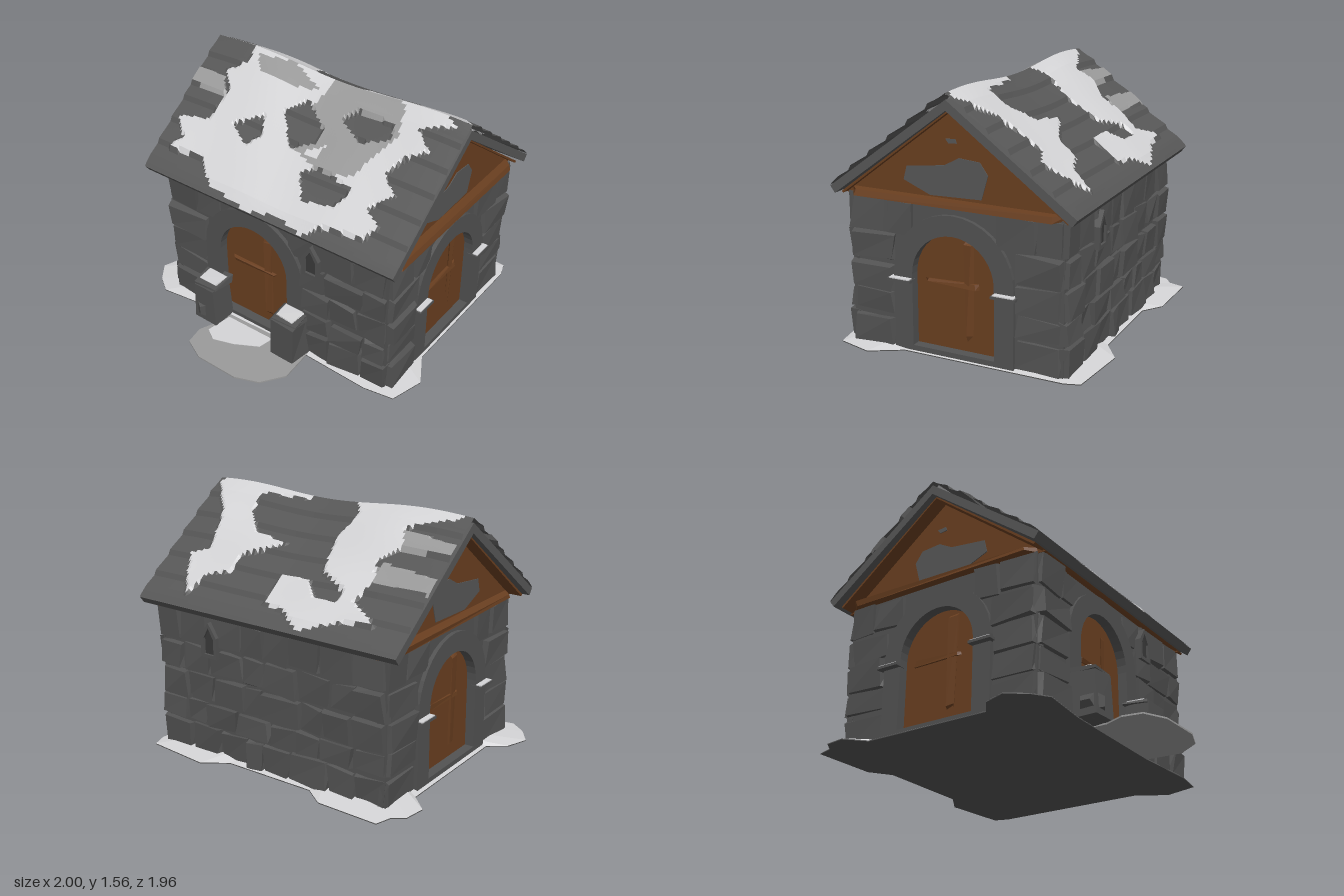
import * as THREE from 'three';
import { mergeGeometries } from 'three/addons/utils/BufferGeometryUtils.js';

const paint = (name, color, side = THREE.FrontSide) => {
  const m = new THREE.MeshStandardMaterial({ color, side });
  m.name = name;
  return m;
};

export function createModel() {
  const stone = paint('stone', 0x525252);
  const slate = paint('slate', 0x575757, THREE.DoubleSide);
  const snow = paint('snow', 0xd4d4d6, THREE.DoubleSide);
  const slush = paint('slush', 0x9a9a9a, THREE.DoubleSide);
  const wood = paint('wood', 0x6a3f20, THREE.DoubleSide);
  const dark = paint('shadowStone', 0x3a3a3a);

  let seed = 7;
  const rand = (a = 0, b = 1) => {
    seed = (seed * 16807) % 2147483647;
    return a + (b - a) * seed / 2147483647;
  };
  const root = new THREE.Group();
  const add = (parent, name, geo, mat, x = 0, y = 0, z = 0) => {
    const m = new THREE.Mesh(geo, mat);
    m.name = name;
    m.position.set(x, y, z);
    parent.add(m);
    return m;
  };
  const flat = (g) => {
    const n = g.index ? g.toNonIndexed() : g;
    n.computeVertexNormals();
    return n;
  };
  const poly = (pts) => new THREE.Shape(pts.map(([x, y]) => new THREE.Vector2(x, y)));
  const extrude = (shape, depth) =>
    new THREE.ExtrudeGeometry(shape, { depth, bevelEnabled: false, curveSegments: 9 });

  // Rough block: eight shifted corners, narrower at the outer face
  const block = (w, h, d, x, y, z, rough = 0.022, taper = 0.9) => {
    const corners = Array.from({ length: 8 }, () => [rand(-rough, rough), rand(-rough, rough), rand(-rough, rough)]);
    const g = new THREE.BoxGeometry(w, h, d);
    const p = g.attributes.position;
    for (let i = 0; i < p.count; i++) {
      const [px, py, pz] = [p.getX(i), p.getY(i), p.getZ(i)];
      const c = corners[(px > 0) + 2 * (py > 0) + 4 * (pz > 0)];
      const k = pz > 0 ? taper : 1;
      p.setXYZ(i, x + px * k + c[0], Math.max(0, y + py * k + c[1]), z + pz + c[2]);
    }
    return flat(g);
  };

  // Round-headed opening
  const arch = (Type, u, r, spring, bottom) => {
    const s = new Type();
    s.moveTo(u - r, bottom);
    s.lineTo(u + r, bottom);
    s.lineTo(u + r, spring);
    s.absarc(u, spring, r, 0, Math.PI, false);
    s.lineTo(u - r, bottom);
    return s;
  };

  // One wall: panel, rough courses, optional door with stone surround
  const courses = [0, 0.19, 0.34, 0.52, 0.7, 0.91];
  function wall(name, width, pos, turn, door) {
    const g = new THREE.Group();
    g.name = name;
    g.position.set(...pos);
    g.rotation.y = turn;
    root.add(g);
    const half = width / 2;
    const face = poly([[-half, 0], [half, 0], [half, 0.91], [-half, 0.91]]);
    if (door) {
      face.holes.push(arch(THREE.Path, door.u, 0.26, door.spring, 0.04));
      const ring = arch(THREE.Shape, door.u, 0.38, door.spring, 0);
      ring.holes.push(arch(THREE.Path, door.u, 0.26, door.spring, 0.04));
      add(g, 'doorSurround', extrude(ring, 0.025), stone);
      add(g, 'door', extrude(arch(THREE.Shape, door.u, 0.27, door.spring, 0.03), 0.02), wood, 0, 0, -0.055);
      add(g, 'doorBar', block(0.34, 0.025, 0.02, door.u - 0.03, 0.44, -0.03, 0.008), wood);
      add(g, 'doorPlank', block(0.05, 0.6, 0.012, door.u + 0.08, 0.4, -0.034, 0.012), wood);
    }
    add(g, 'wallPanel', extrude(face, 0.06), stone, 0, 0, -0.06);

    const stones = [];
    for (let r = 0; r < 5; r++) {
      const [y0, y1] = [courses[r], courses[r + 1]];
      const gap = [0.38, 0.38, 0.38, 0.37, 0.26][r];
      const spans = door ? [[-half, door.u - gap], [door.u + gap, half]] : [[-half, half]];
      for (const [a, b] of spans) {
        const n = Math.max(1, Math.round((b - a) / 0.21));
        let u = a;
        for (let i = 0; i < n; i++) {
          const end = i === n - 1 ? b : a + (b - a) * (i + 1 + rand(-0.25, 0.25)) / n;
          const out = rand(0.01, 0.035);
          stones.push(block(end - u, y1 - y0 - 0.01, 0.06, (u + end) / 2, (y0 + y1) / 2, out - 0.03, 0.014));
          u = end;
        }
      }
    }
    add(g, 'wallStones', mergeGeometries(stones), stone);
    return g;
  }

  const wallX = 1.64, wallZ = 1.34;
  const front = wall('frontWall', wallX, [0.03, 0, 0.51], 0, { u: -0.15, spring: 0.51 });
  const back = wall('backWall', wallX, [0.03, 0, -0.83], Math.PI, null);
  const left = wall('leftWall', wallZ, [0.85, 0, -0.16], Math.PI / 2, { u: 0, spring: 0.475 });
  const right = wall('rightWall', wallZ, [-0.79, 0, -0.16], -Math.PI / 2, { u: 0, spring: 0.475 });

  // Snow-dusted ledges where the side arches spring
  for (const side of [left, right]) for (const s of [-1, 1]) {
    add(side, 'ledge', new THREE.BoxGeometry(0.15, 0.016, 0.07), stone, s * 0.33, 0.435, 0.03);
    add(side, 'ledgeSnow', new THREE.BoxGeometry(0.13, 0.006, 0.06), snow, s * 0.33, 0.446, 0.03);
  }

  // Small pointed windows
  const pointed = (w, h) => [[-w, 0], [w, 0], [w, h * 0.6], [0, h], [-w, h * 0.6]];
  for (const [g, u] of [[front, 0.31], [back, -0.4]]) {
    const frame = poly(pointed(0.06, 0.22));
    frame.holes.push(new THREE.Path(poly(pointed(0.037, 0.165)).translate ? [] : pointed(0.037, 0.165)
      .map(([x, y]) => new THREE.Vector2(x, y + 0.022))));
    add(g, 'windowFrame', extrude(frame, 0.055), stone, u, 0.65, 0);
    add(g, 'windowPane', extrude(poly(pointed(0.045, 0.19)), 0.008), dark, u, 0.66, 0.032);
  }

  // Gate posts, their snow caps and a loose rock
  for (const [x, h, z] of [[-0.405, 0.28, 0.605], [0.205, 0.29, 0.6]]) {
    add(root, 'gatePost', block(0.18, h, 0.16, x, h / 2, z, 0.012, 0.97), stone);
    add(root, 'postCap', block(0.19, 0.03, 0.16, x, h + 0.005, z - 0.01, 0.012), stone);
    add(root, 'postSnow', block(0.14, 0.008, 0.11, x, h + 0.024, z - 0.01, 0.006), snow);
  }
  add(root, 'looseRock', flat(new THREE.DodecahedronGeometry(0.085)), stone, -0.43, 0.09, 0.63);

  // Gables with their tie beams and bare patches
  const turnX = Math.PI / 2;
  for (const [x, s] of [[0.82, 1], [-0.76, -1]]) {
    const g = new THREE.Group();
    g.name = 'gable';
    g.position.set(x, 0, -0.16);
    g.rotation.y = s * turnX;
    root.add(g);
    add(g, 'gableBoard', extrude(poly([[-0.72, 0.9], [0.72, 0.9], [0, 1.47]]), 0.02), wood);
    add(g, 'tieBeam', block(1.36, 0.04, 0.08, 0, 0.922, 0.04, 0.008), wood);
    const patch = [[-0.32, 1.02], [-0.3, 1.1], [-0.06, 1.13], [0.03, 1.18], [0.16, 1.17], [0.21, 1.1], [0.17, 0.96], [-0.15, 0.95]];
    add(g, 'gablePatch', extrude(poly(patch.map(([a, b]) => [s * a, b])), 0.005), slate, 0, 0, 0.02);
    add(g, 'smallPatch', extrude(poly([[-0.05, 1.28], [-0.03, 1.255], [0.02, 1.26], [0.01, 1.285]]), 0.005), slate, 0, 0, 0.02);
  }

  // Roof slab and wooden soffit
  const slab = [[-0.6, 0.95], [0.16, 1.515], [0.93, 0.95], [0.9, 0.91], [0.16, 1.455], [-0.57, 0.91]];
  const soffit = [[-0.55, 0.915], [0.16, 1.456], [0.87, 0.915], [0.86, 0.905], [0.16, 1.445], [-0.54, 0.905]];
  add(root, 'roofSlab', extrude(poly(slab), 1.84), slate, -0.91).rotation.y = turnX;
  add(root, 'soffit', extrude(poly(soffit), 1.76), wood, -0.87).rotation.y = turnX;

  // Roof cover patches in x and height (front) or x and z (back); the last match wins
  const frontPatches = [
    [snow, [[-0.62, 1.6], [-0.6, 1.45], [-0.72, 1.4], [-0.62, 1.33], [-0.65, 1.2], [-0.87, 1.17], [-0.75, 1.1], [-0.82, 1.04],
      [-0.55, 1.06], [-0.42, 0.98], [-0.1, 0.95], [0.1, 0.98], [0.3, 0.95], [0.4, 1], [0.66, 1.02], [0.72, 1.08], [0.6, 1.12],
      [0.72, 1.2], [0.6, 1.25], [0.66, 1.33], [0.78, 1.38], [0.66, 1.44], [0.85, 1.5], [0.6, 1.6]]],
    [slush, [[0, 1.6], [0.5, 1.52], [0.56, 1.4], [0.42, 1.2], [0.22, 1.17], [0, 1.22], [-0.2, 1.33], [-0.02, 1.42]]],
    [slush, [[-0.56, 1.5], [-0.3, 1.53], [-0.05, 1.46], [-0.25, 1.43], [-0.5, 1.44]]],
    [slush, [[-0.95, 1.38], [-0.7, 1.37], [-0.62, 1.3], [-0.95, 1.31]]],
    [slate, [[0.17, 1.39], [0.25, 1.44], [0.5, 1.43], [0.53, 1.37], [0.35, 1.33]]],
    [slate, [[-0.2, 1.34], [-0.08, 1.41], [0.1, 1.33], [0.1, 1.27], [-0.05, 1.22]]],
    [slate, [[-0.48, 1.22], [-0.3, 1.29], [-0.26, 1.22], [-0.32, 1.16]]],
    [slate, [[0.1, 1.15], [0.2, 1.19], [0.46, 1.16], [0.4, 1.08], [0.2, 1.06]]],
    [snow, [[0.04, 1.25], [0.08, 1.21], [0.15, 1.22], [0.17, 1.28], [0.12, 1.25], [0.08, 1.24]]],
  ];
  const backPatches = [
    [slush, [[-0.95, -0.62], [-0.5, -0.6], [-0.55, -0.5], [-0.95, -0.54]]],
    [slush, [[-0.95, -0.4], [-0.5, -0.42], [-0.5, -0.3], [-0.95, -0.34]]],
    [snow, [[-0.7, -0.82], [-0.5, -0.83], [-0.25, -0.92], [-0.1, -0.84], [0.05, -0.82], [0.05, -0.65], [-0.15, -0.66],
      [-0.25, -0.74], [-0.4, -0.75], [-0.4, -0.68], [-0.2, -0.6], [-0.15, -0.4], [-0.2, -0.25], [-0.1, -0.1], [-0.88, -0.1],
      [-0.84, -0.19], [-0.55, -0.3], [-0.6, -0.4], [-0.5, -0.5], [-0.55, -0.6], [-0.5, -0.72]]],
    [snow, [[0.6, -0.88], [0.7, -0.75], [0.76, -0.65], [0.65, -0.6], [0.7, -0.45], [0.75, -0.35], [0.92, -0.2], [0.85, -0.1],
      [0.2, -0.1], [0.2, -0.19], [0.55, -0.22], [0.52, -0.35], [0.4, -0.45], [0.15, -0.48], [0.4, -0.6], [0.4, -0.7], [0.55, -0.74]]],
  ];
  const inside = (x, y, p) => p.reduce((hit, [ax, ay], i) => {
    const [bx, by] = p[(i + 1) % p.length];
    return (ay > y) !== (by > y) && x < ax + (bx - ax) * (y - ay) / (by - ay) ? !hit : hit;
  }, false);
  const cover = (s, x, t) => {
    const v = s > 0 ? 1.53 - 0.58 * t : -0.16 - 0.77 * t;
    return (s > 0 ? frontPatches : backPatches).reduce((m, [mat, p]) => inside(x, v, p) ? mat : m, slate);
  };
  const NX = 100, NT = 48;
  for (const s of [1, -1]) {
    const point = (i, j) => {
      const x = -0.91 + 1.84 * i / NX, t = j / NT;
      const wave = 0.02 + 0.018 * Math.cos((x + 0.6) * 4.7);
      const shingle = 0.022 * ((t * 6 + 0.02) % 1);
      const drift = 0.022 + 0.008 * Math.sin(x * 7 + t * 5) * Math.cos(t * 8 - x * 3);
      const lift = (cover(s, x, t) === slate ? shingle : drift) * Math.min(1, t * 8, (1 - t) * 12);
      return [x, 1.52 - 0.565 * t + wave * (1 - t) + lift, -0.16 + s * (s > 0 ? 0.76 : 0.77) * t];
    };
    const lists = new Map([[slate, []], [snow, []], [slush, []]]);
    for (let i = 0; i < NX; i++) for (let j = 0; j < NT; j++) {
      const mat = cover(s, -0.91 + 1.84 * (i + 0.5) / NX, (j + 0.5) / NT);
      const [a, b, c, d] = [point(i, j), point(i, j + 1), point(i + 1, j + 1), point(i + 1, j)];
      lists.get(mat).push(...(s > 0 ? [a, b, c, a, c, d] : [a, c, b, a, d, c]).flat());
    }
    for (const [mat, list] of lists) {
      const g = new THREE.BufferGeometry();
      g.setAttribute('position', new THREE.Float32BufferAttribute(list, 3));
      add(root, (s > 0 ? 'front' : 'back') + 'Roof_' + mat.name, flat(g), mat);
    }
  }

  // Ground drift sloping away from the walls, over a stone footing
  const rim = [[-1, 0.44], [-0.95, 0.3], [-0.84, 0.22], [-0.84, -0.6], [-0.95, -0.7], [-0.93, -0.83], [-0.86, -0.88], [-0.83, -0.98],
    [-0.43, -0.97], [-0.3, -0.88], [0.3, -0.88], [0.45, -0.98], [0.86, -0.94], [0.89, -0.85], [0.89, 0.15], [1, 0.34],
    [0.94, 0.55], [0.75, 0.58], [0.3, 0.56], [-0.5, 0.58], [-0.82, 0.62], [-0.92, 0.55]];
  const fan = rim.flatMap(([x, z], i) => {
    const [nx, nz] = rim[(i + 1) % rim.length];
    return [0, 0.14, -0.15, nx, 0.006, nz, x, 0.006, z];
  });
  const drift = new THREE.BufferGeometry();
  drift.setAttribute('position', new THREE.Float32BufferAttribute(fan.reverse().reduce((out, _, k, all) =>
    k % 3 ? out : out.concat([all[k + 2], all[k + 1], all[k]]), []), 3));
  // Corner order is turned so the drift faces up
  add(root, 'groundSnow', flat(drift), snow).visible = true;
  const ground = (name, pts, h, mat, y) => {
    add(root, name, extrude(poly(pts.map(([x, z]) => [x, -z])), h), mat, 0, y, 0).rotation.x = -Math.PI / 2;
  };
  ground('footing', rim, 0.005, stone, 0);
  ground('doorstep', [[-0.33, 0.5], [-0.33, 0.66], [-0.38, 0.78], [-0.36, 0.9], [-0.22, 0.97], [0.07, 0.975], [0.22, 0.92],
    [0.32, 0.78], [0.3, 0.5]], 0.01, slush, 0);
  ground('doorstepSnow', [[-0.3, 0.58], [-0.33, 0.75], [-0.25, 0.8], [-0.12, 0.76], [0.03, 0.68], [0.05, 0.58]], 0.004, snow, 0.009);
  return root;
}
